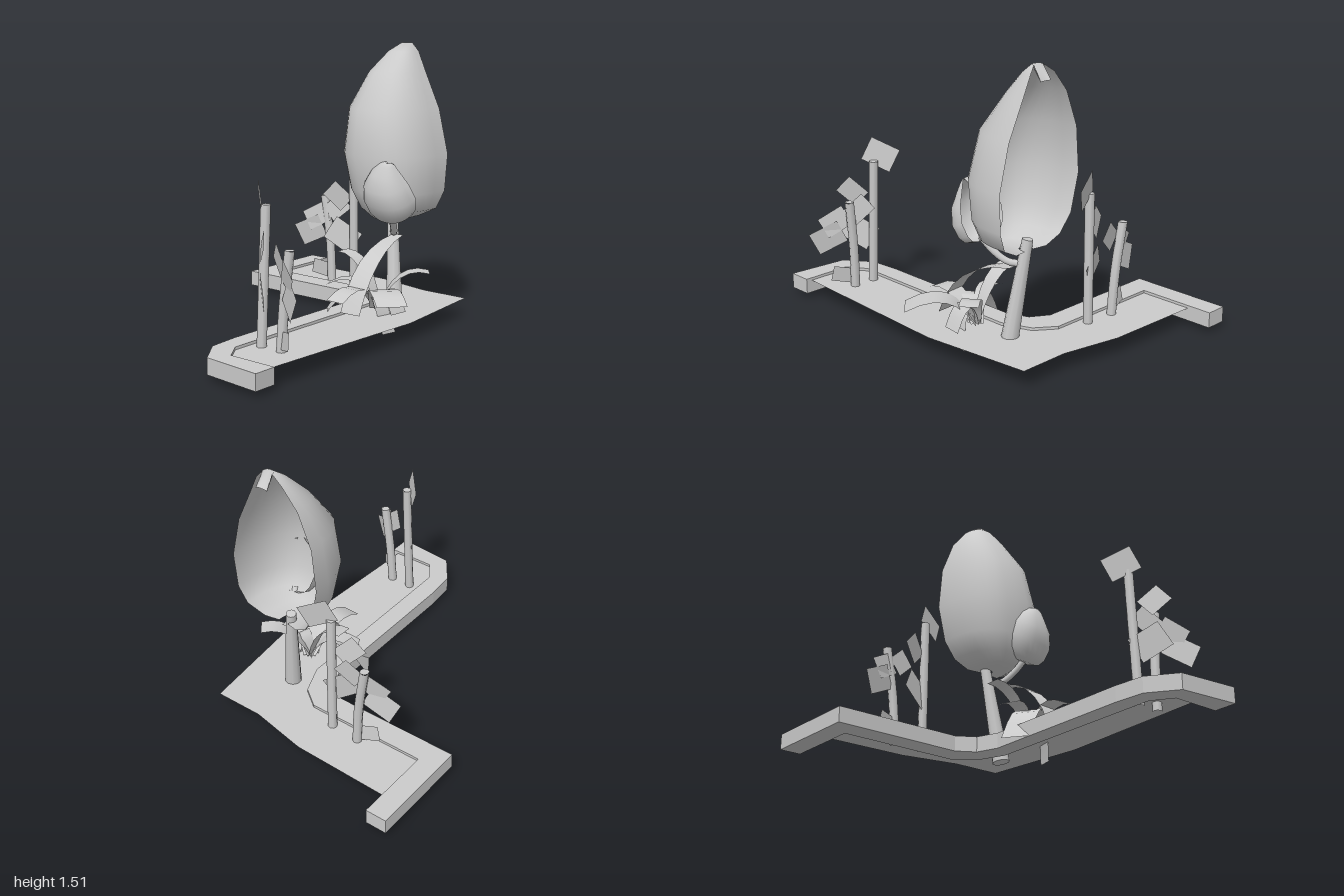
import * as THREE from 'three';

const grey = new THREE.MeshStandardMaterial({ color: 0xcccccc });
const thin = new THREE.MeshStandardMaterial({ color: 0xcccccc, side: THREE.DoubleSide });
const V = (p) => new THREE.Vector3(...p);

function mesh(name, geometry, material = grey) {
  const m = new THREE.Mesh(geometry, material);
  m.name = name;
  return m;
}

// Plan outline given as x,z pairs
const plan = (pts) => new THREE.Shape(pts.map(([x, z]) => new THREE.Vector2(x, -z)));

// Skin a grid of points, row after row
function skin(rows) {
  const n = rows[0].length, index = [];
  for (let r = 0; r < rows.length - 1; r++) {
    for (let i = 0; i < n - 1; i++) {
      const a = r * n + i, b = a + n;
      index.push(a, a + 1, b, a + 1, b + 1, b);
    }
  }
  const g = new THREE.BufferGeometry();
  g.setAttribute('position', new THREE.Float32BufferAttribute(rows.flat(2), 3));
  g.setIndex(index);
  g.computeVertexNormals();
  return g;
}

// Open-backed hood, centred on its middle: [y, left, right, front z, back z]
function hoodGeometry() {
  const levels = [
    [0.585, 0.27, 0.33, -0.48, -0.54],
    [0.59, 0.2, 0.41, -0.34, -0.56],
    [0.64, 0.12, 0.51, -0.29, -0.58],
    [0.74, 0.06, 0.553, -0.25, -0.595],
    [0.94, 0.015, 0.565, -0.225, -0.6],
    [1.18, 0.035, 0.505, -0.265, -0.6],
    [1.37, 0.11, 0.415, -0.4, -0.6],
    [1.48, 0.2, 0.365, -0.5, -0.6],
    [1.525, 0.27, 0.33, -0.56, -0.59],
    [1.45, 0.265, 0.335, -0.63, -0.64],
  ];
  const full = (v) => Math.sign(v) * Math.abs(v) ** 0.8;
  const rows = levels.map(([y, l, r, f, b]) => {
    const row = [];
    for (let i = 0; i <= 16; i++) {
      const a = (Math.PI * i) / 16;
      row.push([(l + r) / 2 - full(Math.cos(a)) * (r - l) / 2 - 0.3, y - 1.05,
        b + full(Math.max(0, Math.sin(a))) * (f - b) + 0.45]);
    }
    return row;
  });
  return skin(rows);
}

// Arching strip leaf along a quadratic curve
function archLeaf(start, control, end, width) {
  const curve = new THREE.QuadraticBezierCurve3(V(start), V(control), V(end));
  const side = new THREE.Vector3(start[2] - end[2], 0, end[0] - start[0]).normalize();
  const rows = [];
  for (let i = 0; i <= 6; i++) {
    const t = i / 6, p = curve.getPoint(t);
    const w = (width / 2) * (0.55 + 0.45 * Math.sin(Math.min(1, t * 1.4) * Math.PI / 2));
    rows.push([-w, w].map((s) => p.clone().addScaledVector(side, s).toArray()));
  }
  return skin(rows);
}

// Cane with flat leaves lying in one upright plane: leaf = [u, y, size, turn]
function cane(name, base, top, dir, leaves) {
  const g = new THREE.Group();
  g.name = name;
  const mid = V(base).lerp(V(top), 0.5).add(new THREE.Vector3((base[0] - top[0]) * 0.2, 0, 0));
  const path = new THREE.CatmullRomCurve3([V(base), mid, V(top)]);
  g.add(mesh('caneStem', new THREE.TubeGeometry(path, 6, 0.025, 8)));
  const cap = mesh('caneTop', new THREE.CircleGeometry(0.025, 8), thin);
  cap.rotation.x = -Math.PI / 2;
  cap.position.set(...top);
  g.add(cap);
  leaves.forEach(([u, y, size, turn], i) => {
    const leaf = mesh('caneLeaf' + i, new THREE.PlaneGeometry(size, size * 0.8), thin);
    leaf.position.set(base[0] + dir[0] * u, y, base[2] + dir[1] * u);
    leaf.rotation.order = 'YXZ';
    leaf.rotation.set(0.1 * (i % 2 ? 1 : -1), Math.atan2(-dir[1], dir[0]), turn);
    g.add(leaf);
  });
  return g;
}

export function createModel() {
  const model = new THREE.Group();

  // L-shaped curb around the bed
  const curb = new THREE.ExtrudeGeometry(plan([
    [-0.71, -1], [-0.71, -0.43], [0.02, -0.43], [0.12, -0.37], [0.165, -0.25], [0.165, 0.65],
    [0.18, 0.82], [0.29, 0.97], [0.625, 1], [0.625, 0.87], [0.35, 0.87], [0.275, 0.76],
    [0.275, -0.32], [0.21, -0.48], [0.1, -0.56], [-0.59, -0.56], [-0.59, -1],
  ]), { depth: 0.085, bevelEnabled: false });
  curb.rotateX(-Math.PI / 2).translate(0, 0.04, 0);
  model.add(mesh('curb', curb));

  // Soil sheet
  const soil = new THREE.ShapeGeometry(plan([
    [-0.6, -0.86], [-0.6, -0.55], [0.1, -0.55], [0.2, -0.47], [0.27, -0.32], [0.27, 0.76],
    [0.35, 0.88], [0.59, 0.88], [0.645, -0.17], [0.58, -0.78], [0.3, -0.78], [-0.03, -0.845],
  ]));
  soil.rotateX(-Math.PI / 2).translate(0, 0.11, 0);
  model.add(mesh('soil', soil, thin));

  // Trunk, thinner towards the hood
  const base = V([0.345, 0.045, -0.44]), top = V([0.275, 0.63, -0.505]);
  const trunk = mesh('trunk', new THREE.CylinderGeometry(0.028, 0.048, base.distanceTo(top), 10));
  trunk.position.copy(base).lerp(top, 0.5);
  trunk.quaternion.setFromUnitVectors(new THREE.Vector3(0, 1, 0), top.clone().sub(base).normalize());
  model.add(trunk);

  // Large hood and the small one on its branch
  const hood = mesh('largeHood', hoodGeometry(), thin);
  hood.position.set(0.3, 1.05, -0.45);
  const bud = mesh('smallHood', hood.geometry, thin);
  bud.position.set(0.42, 0.755, -0.25);
  bud.scale.set(0.52, 0.34, 0.42);
  bud.rotation.set(0.42, 0, -0.12);
  const branch = new THREE.CatmullRomCurve3(
    [[0.3, 0.5, -0.48], [0.34, 0.51, -0.43], [0.38, 0.56, -0.37], [0.41, 0.63, -0.31]].map(V));
  model.add(hood, bud, mesh('branch', new THREE.TubeGeometry(branch, 10, 0.019, 8)));

  // Arching leaves around the trunk
  const leaves = new THREE.Group();
  leaves.name = 'archingLeaves';
  const heart = [0.38, 0.13, -0.24];
  [
    [[0.34, 0.49, -0.47], [0.37, 0.46, -0.13], [0.37, 0.14, -0.01], 0.12],
    [heart, [0.33, 0.42, -0.14], [0.12, 0.04, -0.05], 0.15],
    [heart, [0.46, 0.36, -0.15], [0.65, 0.23, 0], 0.16],
    [heart, [0.37, 0.36, -0.08], [0.365, 0.23, 0.11], 0.11],
    [heart, [0.45, 0.38, -0.3], [0.59, 0.33, -0.41], 0.1],
    [heart, [0.3, 0.42, -0.25], [0.13, 0.41, -0.25], 0.09],
    [heart, [0.3, 0.36, -0.2], [0.13, 0.25, -0.13], 0.09],
    [heart, [0.44, 0.36, -0.23], [0.53, 0.13, -0.22], 0.11],
    [heart, [0.42, 0.3, -0.16], [0.47, 0.01, -0.22], 0.09],
  ].forEach((l, i) => leaves.add(mesh('archingLeaf' + i, archLeaf(...l), thin)));
  model.add(leaves);

  // Two pairs of canes, the front pair turned around
  const tall = [[0.06, 0.84, 0.17, -0.45], [-0.1, 0.63, 0.14, -0.75], [-0.07, 0.4, 0.18, -0.55]];
  const short = [[-0.1, 0.49, 0.15, 0.5], [-0.14, 0.4, 0.17, 0.45],
    [0.03, 0.55, 0.14, 0.7], [-0.07, 0.18, 0.11, -0.2]];
  model.add(
    cane('backTallCane', [-0.07, 0.06, -0.61], [-0.075, 0.81, -0.6], [0.92, -0.39], tall),
    cane('backShortCane', [-0.24, 0.06, -0.62], [-0.305, 0.61, -0.63], [0.97, -0.24], short),
    cane('frontTallCane', [0.335, 0.06, 0.64], [0.335, 0.81, 0.605], [-0.72, -0.7], tall),
    cane('frontShortCane', [0.46, 0.06, 0.64], [0.5, 0.61, 0.62], [-0.85, -0.53], short),
  );
  return model;
}
